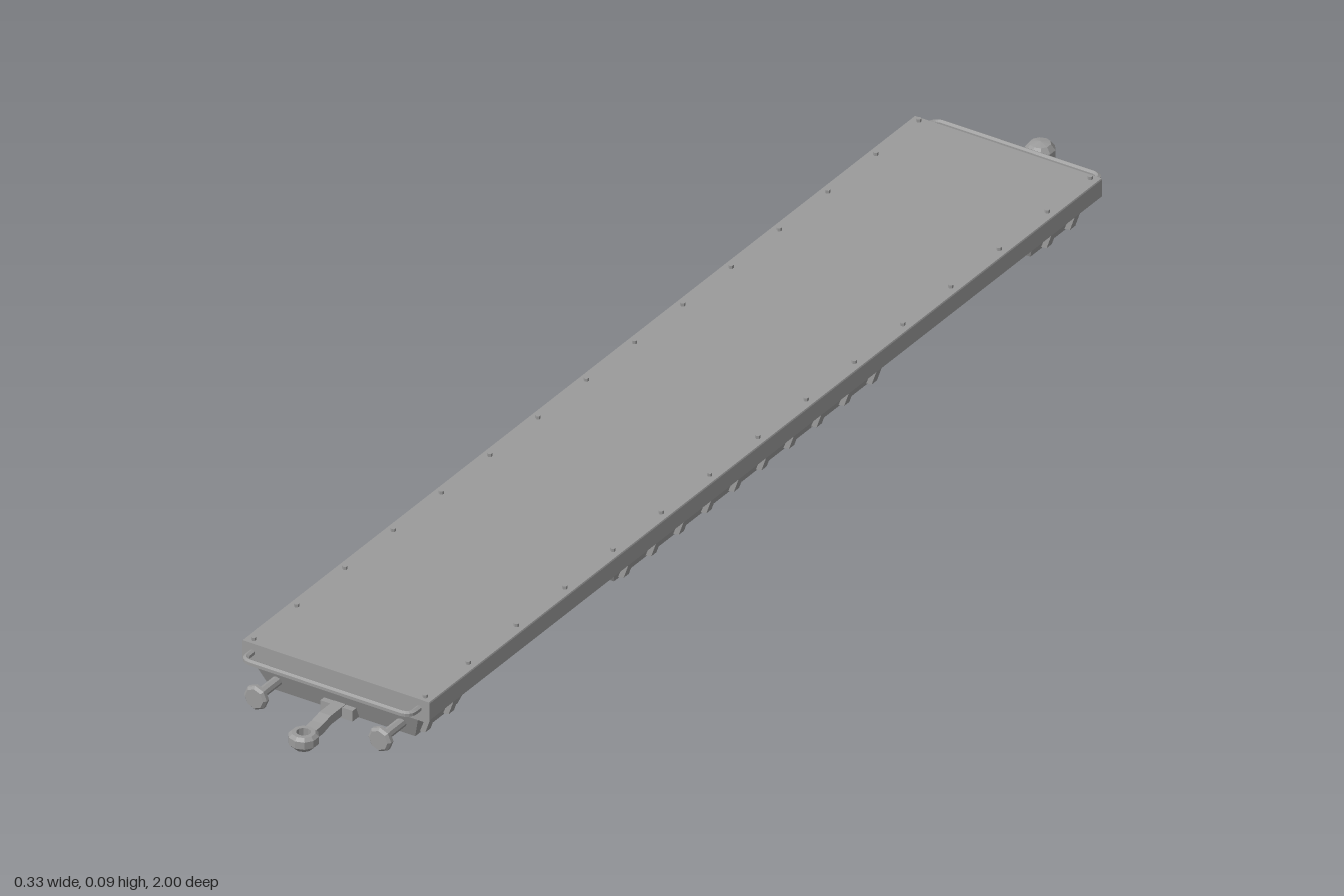
import * as THREE from 'three';

const material = new THREE.MeshStandardMaterial({ color: 0x9b9b9b, flatShading: true });

export function createModel() {
  const model = new THREE.Group();

  function add(name, geometry, x = 0, y = 0, z = 0, parent = model) {
    const mesh = new THREE.Mesh(geometry, material);
    mesh.name = name;
    mesh.position.set(x, y, z);
    parent.add(mesh);
    return mesh;
  }

  const vectors = (points) => points.map(([x, y]) => new THREE.Vector2(x, y));
  const polygon = (points) => new THREE.Shape(vectors(points));

  // Block whose bottom rectangle is smaller than its top one
  function taperedBlock(topX, topZ0, topZ1, botX, botZ0, botZ1, y0, y1) {
    const geometry = new THREE.BoxGeometry(1, 1, 1);
    const p = geometry.attributes.position;
    for (let i = 0; i < p.count; i++) {
      const top = p.getY(i) > 0, far = p.getZ(i) > 0;
      p.setXYZ(i, Math.sign(p.getX(i)) * (top ? topX : botX), top ? y1 : y0,
        top ? (far ? topZ1 : topZ0) : (far ? botZ1 : botZ0));
    }
    geometry.computeVertexNormals();
    return geometry;
  }

  // Deck with bevelled lower edges
  const deckShape = polygon([[-0.157, 0.05], [0.157, 0.05], [0.163, 0.056], [0.163, 0.084],
    [0.162, 0.086], [-0.162, 0.086], [-0.163, 0.084], [-0.163, 0.056]]);
  add('deck', new THREE.ExtrudeGeometry(deckShape, { depth: 1.784, bevelEnabled: false }), 0, 0, -0.892);

  // Stake pegs along both deck edges
  const peg = new THREE.CylinderGeometry(0.004, 0.004, 0.008, 6);
  for (const x of [-0.149, 0.149]) {
    for (let i = -6; i <= 6; i++) add('deckPeg', peg, x, 0.087, i * 0.128);
    for (const z of [-0.882, 0.882]) add('deckPeg', peg, x, 0.087, z);
  }

  // Underframe blocks
  add('centreUnderframe', taperedBlock(0.142, -0.37, 0.37, 0.125, -0.345, 0.345, 0.007, 0.052));
  add('frontUnderframe', taperedBlock(0.142, 0.742, 0.89, 0.125, 0.76, 0.872, 0.007, 0.052));
  add('backUnderframe', taperedBlock(0.142, -0.89, -0.742, 0.125, -0.872, -0.76, 0.007, 0.052));

  // Tapered ribs on the underframe sides
  const ribShape = polygon([[0.12, 0.01], [0.136, 0.012], [0.147, 0.044], [0.158, 0.051], [0.12, 0.051]]);
  const rib = new THREE.ExtrudeGeometry(ribShape, { depth: 0.014, bevelEnabled: false });
  rib.translate(0, 0, -0.007);
  const ribZ = [-0.855, -0.793, 0.793, 0.855];
  for (let i = 0; i < 10; i++) ribZ.push(-0.329 + i * 0.0731);
  for (const z of ribZ) {
    add('sideRib', rib, 0, 0, z);
    add('sideRib', rib, 0, 0, z).rotation.y = Math.PI;
  }

  // Buffers and handrail, the same at both ends
  const buffer = new THREE.LatheGeometry(vectors([[0, 0], [0.008, 0], [0.008, 0.05], [0.012, 0.056],
    [0.02, 0.061], [0.02, 0.067], [0.016, 0.071], [0, 0.071]]), 8);
  buffer.rotateX(Math.PI / 2);

  const railPath = new THREE.CurvePath();
  const v = (x, z) => new THREE.Vector3(x, 0.071, z);
  railPath.add(new THREE.LineCurve3(v(-0.145, 0.885), v(-0.145, 0.903)));
  railPath.add(new THREE.QuadraticBezierCurve3(v(-0.145, 0.903), v(-0.145, 0.918), v(-0.13, 0.918)));
  railPath.add(new THREE.LineCurve3(v(-0.13, 0.918), v(0.13, 0.918)));
  railPath.add(new THREE.QuadraticBezierCurve3(v(0.13, 0.918), v(0.145, 0.918), v(0.145, 0.903)));
  railPath.add(new THREE.LineCurve3(v(0.145, 0.903), v(0.145, 0.885)));
  const rail = new THREE.TubeGeometry(railPath, 80, 0.005, 6, false);

  const ends = ['front', 'back'].map((side, i) => {
    const end = new THREE.Group();
    end.name = side + 'End';
    end.rotation.y = i * Math.PI;
    model.add(end);
    add('endRail', rail, 0, 0, 0, end);
    for (const s of [-1, 1]) add('buffer', buffer, s * 0.108, 0.03, 0.873, end);
    add('couplerBracket', new THREE.BoxGeometry(0.056, 0.018, 0.02), 0, 0.018, 0.88, end);
    return end;
  });

  // Front coupler: drawbar stepping down to an open eye
  const barShape = polygon([[0.87, 0.013], [0.92, 0.013], [0.94, 0.008], [0.963, 0.008],
    [0.963, 0.022], [0.94, 0.024], [0.92, 0.028], [0.87, 0.028]]);
  const drawbar = new THREE.ExtrudeGeometry(barShape, { depth: 0.02, bevelEnabled: false });
  drawbar.rotateY(-Math.PI / 2);
  drawbar.translate(0.01, 0, 0);
  add('drawbar', drawbar, 0, 0, 0, ends[0]);
  add('couplerEye', new THREE.LatheGeometry(vectors([[0.011, 0], [0.014, 0], [0.023, 0.009],
    [0.023, 0.021], [0.018, 0.026], [0.011, 0.026], [0.011, 0]]), 10), 0, 0, 0.977, ends[0]);

  // Back coupler: straight bar ending in a closed, rounded knuckle
  add('drawbar', new THREE.BoxGeometry(0.02, 0.018, 0.1), 0, 0.031, 0.915, ends[1]);
  add('couplerKnuckle', new THREE.LatheGeometry(vectors([[0, 0.006], [0.012, 0.007], [0.015, 0.017],
    [0.023, 0.022], [0.023, 0.042], [0.016, 0.051], [0, 0.054]]), 10), 0, 0, 0.977, ends[1]);

  return model;
}
